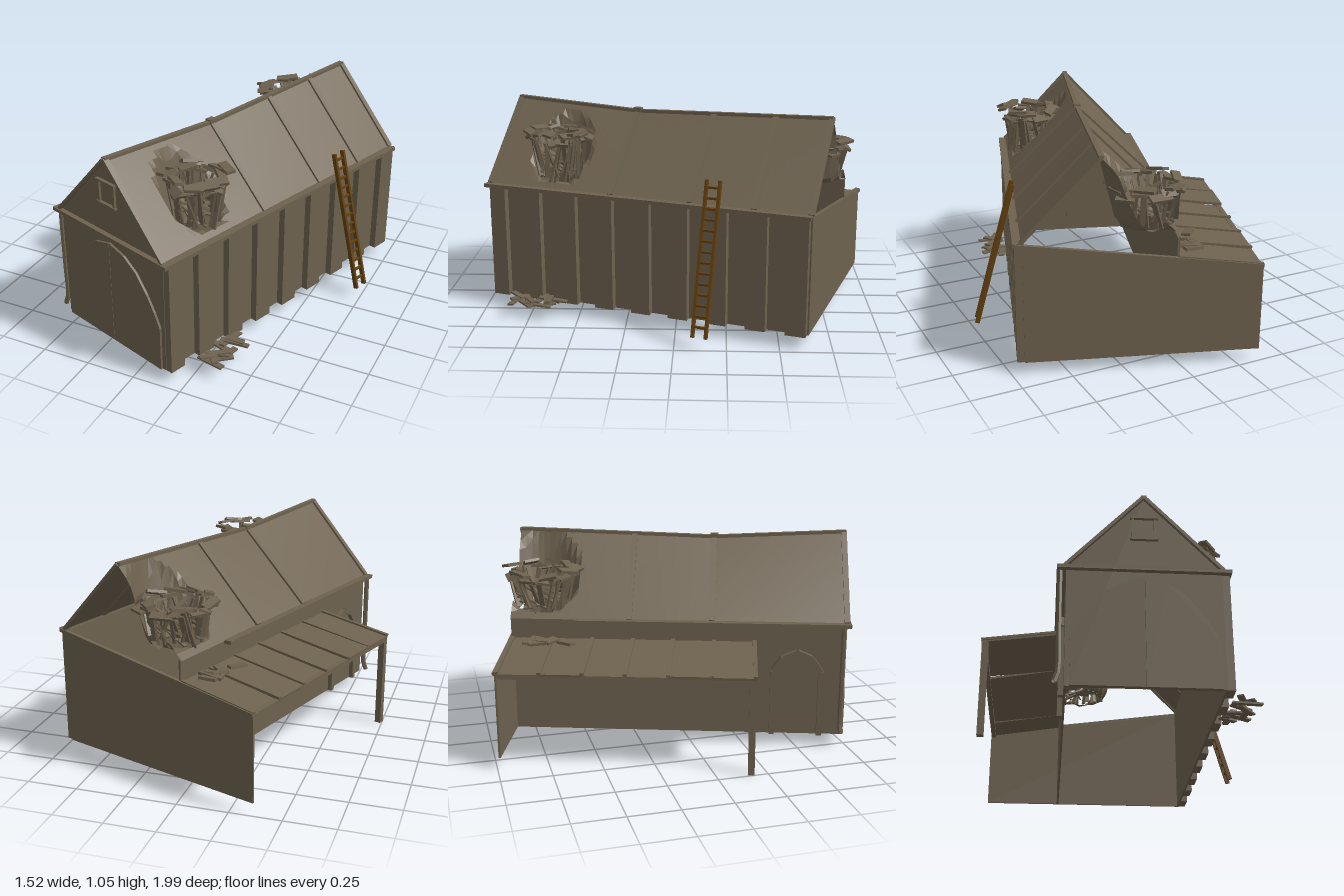
import * as THREE from 'three';

const wood = new THREE.MeshStandardMaterial({ name: 'weathered wood', color: 0x6e624f, flatShading: true, side: THREE.DoubleSide });
const ladderWood = new THREE.MeshStandardMaterial({ name: 'ladder wood', color: 0x63400f, flatShading: true });

const HALF_W = 0.357, ROOF_W = 0.365, FRONT = 0.855, BACK = -0.825, BASE = 0.06, EAVE = 0.65;
const CRATERS = [
  { x: 0.235, z: 0.525, r: 0.12, top: 0.92 },
  { x: -0.23, z: -0.68, r: 0.145, top: 0.875 },
];

let seed = 7;
const rand = (a, b) => {
  seed = (seed * 16807) % 2147483647;
  return a + (b - a) * (seed / 2147483647);
};

// sagging ridge line
function ridgeY(z) {
  return z > 0.19 ? 1.005 + (z - 0.19) * 0.05 : 1.005 + (0.19 - z) * 0.03;
}
const roofY = (x, z) => THREE.MathUtils.lerp(ridgeY(z), EAVE, Math.abs(x) / ROOF_W);

function add(parent, name, geometry, material = wood) {
  const mesh = new THREE.Mesh(geometry, material);
  mesh.name = name;
  parent.add(mesh);
  return mesh;
}

// square timber running from a to b
function beam(parent, name, a, b, w, h, material = wood) {
  const start = new THREE.Vector3(...a), end = new THREE.Vector3(...b);
  const mesh = new THREE.Mesh(new THREE.BoxGeometry(w, h, start.distanceTo(end)), material);
  mesh.name = name;
  mesh.position.copy(start).lerp(end, 0.5);
  mesh.lookAt(end);
  parent.add(mesh);
  return mesh;
}

// flat panel cut from an outline in the x-y plane
function panel(parent, name, points, z, depth) {
  const shape = new THREE.Shape(points.map(p => new THREE.Vector2(...p)));
  const mesh = add(parent, name, new THREE.ExtrudeGeometry(shape, { depth, bevelEnabled: false }));
  mesh.position.z = z;
}

// one roof slope as a grid, sunk around its crater and left open in the middle
function roofSlope(parent, side) {
  const crater = CRATERS.find(c => Math.sign(c.x) === side);
  const nz = 56, nx = 14, verts = [], index = [];
  const dist = (x, z) => Math.hypot(x - crater.x, z - crater.z);
  const at = (i, j) => [side * ROOF_W * j / nx, THREE.MathUtils.lerp(BACK, FRONT + 0.01, i / nz)];
  for (let i = 0; i <= nz; i++) for (let j = 0; j <= nx; j++) {
    const [x, z] = at(i, j);
    const sunk = 0.68 + Math.max(0, dist(x, z) - crater.r) * 4;
    verts.push(x, Math.min(roofY(x, z), sunk), z);
  }
  for (let i = 0; i < nz; i++) for (let j = 0; j < nx; j++) {
    const [x, z] = at(i + 0.5, j + 0.5);
    if (dist(x, z) < crater.r * 0.8) continue;
    const a = i * (nx + 1) + j, b = a + 1, c = a + nx + 1, d = c + 1;
    if (side > 0) index.push(a, c, b, b, c, d);
    else index.push(a, b, c, b, d, c);
  }
  const geo = new THREE.BufferGeometry();
  geo.setAttribute('position', new THREE.Float32BufferAttribute(verts, 3));
  geo.setIndex(index);
  geo.computeVertexNormals();
  add(parent, side > 0 ? 'rightRoof' : 'leftRoof', geo);
}

// ring of broken planks around a hole, more fallen across it, and slabs on its rim
function brokenHole(parent, { x, z, r, top }) {
  const group = new THREE.Group();
  group.name = 'brokenRoofHole';
  for (let i = 0; i < 36; i++) {
    const a = i / 36 * Math.PI * 2, b = a + rand(-0.5, 0.5);
    const r0 = r * rand(0.7, 0.95), r1 = r * rand(0.95, 1.12);
    beam(group, 'brokenPlank',
      [Math.cos(a) * r0, rand(0.67, 0.73), Math.sin(a) * r0],
      [Math.cos(b) * r1, top - rand(0, 0.05), Math.sin(b) * r1], rand(0.015, 0.03), 0.009);
  }
  for (let i = 0; i < 20; i++) {
    const a = i / 20 * Math.PI * 2, b = a + rand(1.2, 2.6);
    beam(group, 'crossedPlank',
      [Math.cos(a) * r * 0.85, rand(0.69, 0.76), Math.sin(a) * r * 0.85],
      [Math.cos(b) * r * 0.9, rand(0.74, 0.86), Math.sin(b) * r * 0.9], 0.022, 0.009);
  }
  for (let i = 0; i < 22; i++) {
    const a = i / 22 * Math.PI * 2 + rand(-0.1, 0.1), rr = r * rand(0.95, 1.25);
    const slab = add(group, 'rimSlab', new THREE.BoxGeometry(0.045, 0.014, rand(0.06, 0.11)));
    slab.position.set(Math.cos(a) * rr, top + rand(-0.04, 0.015), Math.sin(a) * rr);
    slab.rotation.set(rand(-0.3, 0.3), -a + rand(-0.5, 0.5), rand(-0.5, 0.1));
  }
  group.position.set(x, 0, z);
  parent.add(group);
}

function buildWalls(barn) {
  panel(barn, 'frontWall', [[-HALF_W, BASE], [HALF_W, BASE], [HALF_W, EAVE], [0, ridgeY(FRONT)], [-HALF_W, EAVE]], FRONT - 0.01, 0.01);
  // back wall slopes down past the lean-to; the gable above it has fallen away
  panel(barn, 'backWall', [[-0.755, BASE], [HALF_W, BASE], [HALF_W, 0.645], [-0.755, 0.49]], BACK, 0.01);
  beam(barn, 'backRail', [0.39, 0.645, BACK], [-0.755, 0.49, BACK], 0.02, 0.016);
  for (const s of [-1, 1]) {
    const wall = add(barn, s > 0 ? 'rightWall' : 'leftWall', new THREE.BoxGeometry(0.01, EAVE - BASE, FRONT - BACK));
    wall.position.set(s * (HALF_W - 0.005), (EAVE + BASE) / 2, (FRONT + BACK) / 2);
    beam(barn, 'eaveRail', [s * 0.38, 0.645, s > 0 ? BACK : -0.5], [s * 0.38, 0.645, 0.875], 0.04, 0.018);
  }
  beam(barn, 'frontRail', [-0.4, 0.645, 0.865], [0.4, 0.645, 0.865], 0.03, 0.018);
  // thick boards along the right wall
  for (let i = 0; i < 9; i++) {
    const width = i ? 0.1 : 0.085;
    const board = add(barn, 'wallBoard', new THREE.BoxGeometry(0.04, 0.58, width));
    board.position.set(HALF_W + 0.015, 0.35, 0.767 - i * 0.198 + width / 2);
  }
}

function buildRoof(barn) {
  for (const s of [-1, 1]) {
    roofSlope(barn, s);
    for (const z of [0.86, 0.19, -0.225, -0.545, -0.82]) {
      if (s < 0 && z < -0.5) continue;
      beam(barn, 'roofBatten', [0, ridgeY(z) + 0.004, z], [s * ROOF_W, EAVE + 0.004, z], 0.028, 0.016);
    }
  }
  for (const [a, b] of [[0.87, 0.19], [0.19, BACK]])
    beam(barn, 'ridgeBeam', [0, ridgeY(a) + 0.003, a], [0, ridgeY(b) + 0.003, b], 0.025, 0.016);
  beam(barn, 'ridgeKnob', [0, 1.015, 0.17], [0, 1.015, 0.21], 0.035, 0.02);
  CRATERS.forEach(c => brokenHole(barn, c));
}

function buildOpenings(barn) {
  // pointed double door, set through the wall
  const half = [[0.335, BASE], [0.335, 0.29], [0.3, 0.36], [0.25, 0.44], [0.18, 0.525], [0.1, 0.58], [0, 0.607]];
  for (const s of [-1, 1])
    panel(barn, 'doorLeaf', [[s * 0.001, BASE], ...half.map(([x, y]) => [s * Math.max(x, 0.001), y])], FRONT - 0.014, 0.026);
  // gable window frame
  for (const s of [-1, 1]) beam(barn, 'windowSide', [s * 0.052, 0.815, 0.86], [s * 0.052, 0.925, 0.86], 0.012, 0.014);
  beam(barn, 'windowHead', [-0.065, 0.925, 0.862], [0.065, 0.925, 0.862], 0.02, 0.01);
  beam(barn, 'windowSill', [-0.065, 0.81, 0.862], [0.065, 0.81, 0.862], 0.02, 0.01);
  // arched side door on the left wall
  const frame = [[0.5, BASE], [0.5, 0.4], [0.55, 0.47], [0.62, 0.5], [0.69, 0.47], [0.74, 0.4], [0.74, BASE]];
  for (let i = 1; i < frame.length; i++) {
    const [z0, y0] = frame[i - 1], [z1, y1] = frame[i];
    beam(barn, 'sideDoorFrame', [-0.368, y0, z0], [-0.368, y1, z1], 0.026, 0.026);
  }
  // corner pipe with a kicked foot
  const path = new THREE.CatmullRomCurve3([[-0.385, 0.64, 0.845], [-0.385, 0.3, 0.845], [-0.385, 0.13, 0.845], [-0.4, 0.08, 0.85]].map(p => new THREE.Vector3(...p)));
  add(barn, 'cornerPipe', new THREE.TubeGeometry(path, 12, 0.013, 6));
}

function buildLeanTo(barn) {
  const n = 6, step = (0.41 - BACK) / n;
  for (let i = 0; i < n; i++) {
    const z = BACK + (i + 0.5) * step, drop = rand(-0.012, 0.008);
    beam(barn, 'leanToRoof', [-0.357, 0.542, z], [-0.755 - drop, 0.488 + drop, z], step, 0.012);
  }
  for (let i = 0; i <= n; i++) {
    const z = BACK + 0.007 + i * (step - 0.002);
    beam(barn, 'leanToBatten', [-0.36, 0.551, z], [-0.755, 0.496, z], 0.02, 0.012);
  }
  beam(barn, 'leanToBeam', [-0.74, 0.476, BACK], [-0.74, 0.476, 0.4], 0.025, 0.025);
  const post = add(barn, 'leanToPost', new THREE.BoxGeometry(0.032, 0.485, 0.032));
  post.position.set(-0.735, 0.2425, 0.395);
}

function buildLadder(barn) {
  const foot = [0.57, 0.06], head = [0.375, 0.78], rungs = 14;
  for (const s of [-1, 1])
    beam(barn, 'ladderRail', [foot[0], foot[1], -0.35 + s * 0.033], [head[0], head[1], -0.35 + s * 0.033], 0.014, 0.022, ladderWood);
  for (let i = 1; i <= rungs; i++) {
    const t = i / (rungs + 0.7);
    const x = THREE.MathUtils.lerp(foot[0], head[0], t), y = THREE.MathUtils.lerp(foot[1], head[1], t);
    beam(barn, 'ladderRung', [x, y, -0.385], [x, y, -0.315], 0.012, 0.01, ladderWood);
  }
}

// planks fallen to the ground and onto the lean-to
function buildDebris(barn) {
  for (let i = 0; i < 14; i++) {
    const plank = add(barn, 'fallenPlank', new THREE.BoxGeometry(0.03, 0.009, rand(0.08, 0.15)));
    plank.position.set(0.45 + rand(-0.04, 0.04), 0.066 + i * 0.0025, 0.59 + rand(-0.1, 0.1));
    plank.rotation.set(rand(-0.12, 0.12), rand(0, 3), 0);
  }
  for (let i = 0; i < 7; i++) {
    const slab = add(barn, 'fallenSlab', new THREE.BoxGeometry(0.045, 0.014, 0.085));
    slab.position.set(-0.41 - rand(0, 0.06), 0.555, -0.64 + rand(-0.12, 0.12));
    slab.rotation.set(0, rand(0, 3), 0.14);
  }
}

export function createModel() {
  const model = new THREE.Group();
  model.name = 'ruinedBarn';
  const barn = new THREE.Group();
  barn.name = 'barn';
  [buildWalls, buildRoof, buildOpenings, buildLeanTo, buildLadder, buildDebris].forEach(build => build(barn));
  barn.position.set(0.09, 0, 0.03);
  barn.rotation.y = -0.325;
  model.add(barn);
  return model;
}
